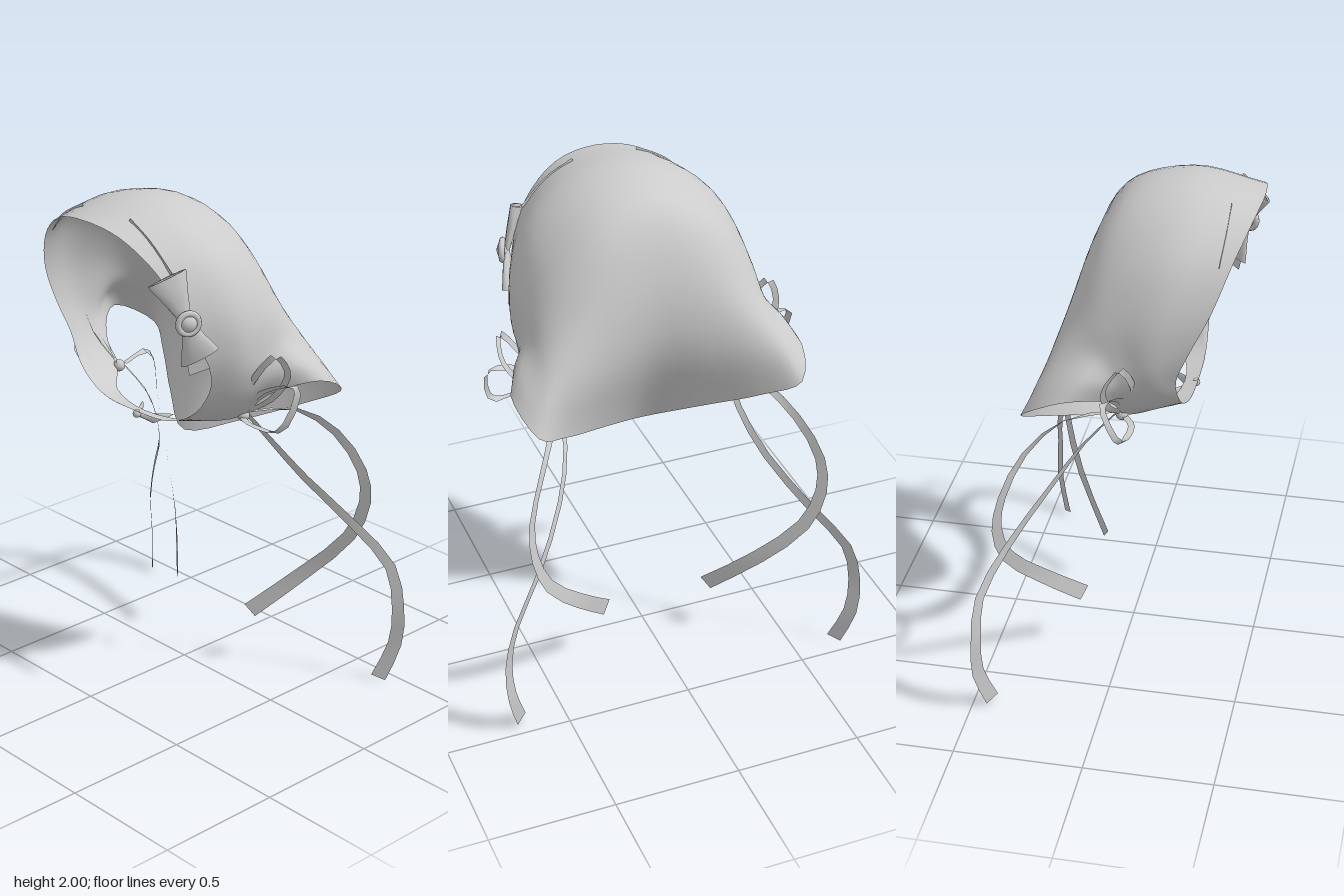
import * as THREE from 'three';

const V = (p) => new THREE.Vector3(...p);
const mat = new THREE.MeshStandardMaterial({ color: 0xcccccc, side: THREE.DoubleSide });

// Surface through rows of points; closed rows wrap round
function sheet(name, rows, closed) {
  const n = rows[0].length, index = [];
  for (let r = 0; r < rows.length - 1; r++) {
    for (let i = 0; i < (closed ? n : n - 1); i++) {
      const j = (i + 1) % n, a = r * n + i, b = r * n + j, c = a + n, d = b + n;
      index.push(a, b, c, b, d, c);
    }
  }
  const geo = new THREE.BufferGeometry().setFromPoints(rows.flat());
  geo.setIndex(index);
  geo.computeVertexNormals();
  const mesh = new THREE.Mesh(geo, mat);
  mesh.name = name;
  return mesh;
}

// Flat ribbon along a path, its width turned towards a given direction
function ribbon(name, points, w0, w1, dir, steps) {
  const curve = new THREE.CatmullRomCurve3(points.map(V));
  const rows = [];
  for (let i = 0; i <= steps; i++) {
    const t = i / steps, p = curve.getPoint(t), tan = curve.getTangent(t);
    const w = V(dir).addScaledVector(tan, -tan.dot(V(dir))).setLength((w0 + (w1 - w0) * t) / 2);
    rows.push([p.clone().sub(w), p.clone().add(w)]);
  }
  return sheet(name, rows, false);
}

// Puffed bow wing from a knot to an end edge a-b
function bowWing(name, knot, a, b, thick) {
  const A = V(a), B = V(b), K = V(knot);
  const end = A.clone().add(B).multiplyScalar(0.5), half = B.clone().sub(A).multiplyScalar(0.5);
  const out = end.clone().sub(K).cross(half).normalize();
  const rows = [[0, 0.25, 0.5], [0.5, 0.6, 0.8], [1, 1, 1], [1, 0.85, 0.5]].map(([t, w, h]) =>
    Array.from({ length: 10 }, (_, i) => {
      const q = (i / 10) * Math.PI * 2;
      return K.clone().lerp(end, t).addScaledVector(half, Math.cos(q) * w)
        .addScaledVector(out, Math.sin(q) * h * thick);
    }));
  return sheet(name, rows, true);
}

function ball(name, r, pos) {
  const m = new THREE.Mesh(new THREE.SphereGeometry(r, 16, 10), mat);
  m.name = name;
  m.position.set(...pos);
  return m;
}

// Left half of the hood: lines from the front rim back to the hem, crown first
const folds = [
  [[0, 1.95, .49], [0, 2, .2], [0, 1.93, -.03], [0, 1.7, -.15], [0, 1.4, -.165], [0, 1, 0]],
  [[.17, 1.92, .47], [.2, 1.955, .2], [.19, 1.88, -.04], [.19, 1.67, -.16], [.2, 1.38, -.2], [.2, 1.07, -.11]],
  [[.31, 1.81, .42], [.365, 1.83, .2], [.36, 1.74, -.03], [.35, 1.58, -.16], [.39, 1.37, -.25], [.4, 1.16, -.25]],
  [[.39, 1.65, .36], [.45, 1.66, .18], [.45, 1.6, 0], [.45, 1.5, -.13], [.49, 1.36, -.25], [.53, 1.23, -.32]],
  [[.42, 1.48, .28], [.475, 1.5, .15], [.475, 1.49, .04], [.485, 1.46, -.03], [.54, 1.4, -.09], [.58, 1.33, -.15]],
  [[.4, 1.36, .235], [.455, 1.39, .16], [.47, 1.38, .09], [.475, 1.36, .05], [.475, 1.33, .02], [.46, 1.28, 0]],
  [[.33, 1.24, .24], [.37, 1.26, .19], [.39, 1.25, .14], [.39, 1.23, .1], [.37, 1.2, .07], [.35, 1.17, .04]],
];
// Chin strap: rim point and hem point
const strap = [
  [[.2, 1.165, .25], [.22, 1.145, .15]],
  [[0, 1.15, .255], [0, 1.135, .2]],
];

function buildHood() {
  const curves = [...folds, ...strap].map((f) => new THREE.CatmullRomCurve3(f.map(V)));
  const rows = [];
  for (let i = 0; i <= 24; i++) {
    const half = curves.map((c) => c.getPoint(i / 24));
    const other = half.slice(1, -1).reverse().map((p) => new THREE.Vector3(-p.x, p.y, p.z));
    const ring = new THREE.CatmullRomCurve3([...half, ...other], true);
    rows.push(Array.from({ length: 64 }, (_, k) => ring.getPoint(k / 64)));
  }
  return sheet('hood', rows, true);
}

// Ribbon tie with two loops and two long tails, on the side given by s
function buildTie(s) {
  const g = new THREE.Group();
  g.name = s > 0 ? 'leftTie' : 'rightTie';
  const m = (pts) => pts.map(([x, y, z]) => [x * s, y, z]);
  const dir = [0.75 * s, 0, -0.6];
  g.add(
    ball('tieKnot', 0.024, [0.355 * s, 1.175, 0.025]),
    ribbon('upperLoop', m([[.35, 1.18, .03], [.44, 1.32, .09], [.55, 1.47, .055], [.56, 1.39, 0],
      [.48, 1.27, 0], [.35, 1.18, .03]]), .025, .025, dir, 16),
    ribbon('lowerLoop', m([[.35, 1.18, .03], [.48, 1.31, .04], [.615, 1.35, .005], [.585, 1.19, .06],
      [.45, 1.18, .08], [.35, 1.17, .03]]), .025, .025, dir, 16),
    ribbon('outerTail', m([[.35, 1.17, 0], [.36, 1.03, -.12], [.43, .86, -.24], [.57, .66, -.38],
      [.69, .5, -.46], [.73, .33, -.47], [.72, .17, -.47], [.675, .015, -.43]]), .018, .06, dir, 14),
    ribbon('innerTail', m([[.35, 1.18, 0], [.43, 1.165, -.18], [.52, 1.06, -.31], [.59, .9, -.385],
      [.59, .76, -.41], [.53, .6, -.39], [.38, .42, -.3], [.215, .235, -.16]]), .02, .065, dir, 14),
  );
  return g;
}

function buildHairBow() {
  const g = new THREE.Group();
  g.name = 'hairBow';
  const knot = [.41, 1.64, .365];
  g.add(
    bowWing('upperWing', knot, [.315, 1.77, .465], [.385, 1.83, .345], .022),
    bowWing('lowerWing', knot, [.385, 1.465, .37], [.46, 1.53, .255], .022),
    ribbon('bowTail', [knot, [.41, 1.54, .34], [.42, 1.44, .31]], .03, .08, [.5, .3, -.8], 3),
  );
  // Round button framed by a ring
  const button = new THREE.Group();
  button.name = 'button';
  const ring = new THREE.Mesh(new THREE.TorusGeometry(.038, .012, 8, 24), mat);
  ring.name = 'buttonRing';
  const bead = ball('buttonBead', .032, [0, 0, 0]);
  bead.scale.z = 0.7;
  button.add(ring, bead);
  button.position.set(.425, 1.64, .37);
  button.rotation.y = 1.15;
  g.add(button);
  return g;
}

function buildChinBow() {
  const g = new THREE.Group();
  g.name = 'chinBow';
  const knot = [0, 1.135, .245];
  g.add(ball('chinKnot', .016, knot));
  for (const s of [-1, 1]) {
    g.add(bowWing('chinWing', knot, [s * .04, 1.095, .2], [s * .09, 1.13, .135], .008));
  }
  return g;
}

export function createModel() {
  const model = new THREE.Group();
  model.name = 'tiedBonnet';
  model.add(buildHood(), buildHairBow(), buildChinBow());
  for (const s of [1, -1]) {
    model.add(buildTie(s));
    // Narrow seam band near the front of the crown
    model.add(ribbon('seamBand', [[.13 * s, 1.962, .385], [.24 * s, 1.9, .385], [.34 * s, 1.805, .375]],
      .012, .012, [0.4 * s, 1, 0], 8));
  }
  return model;
}
